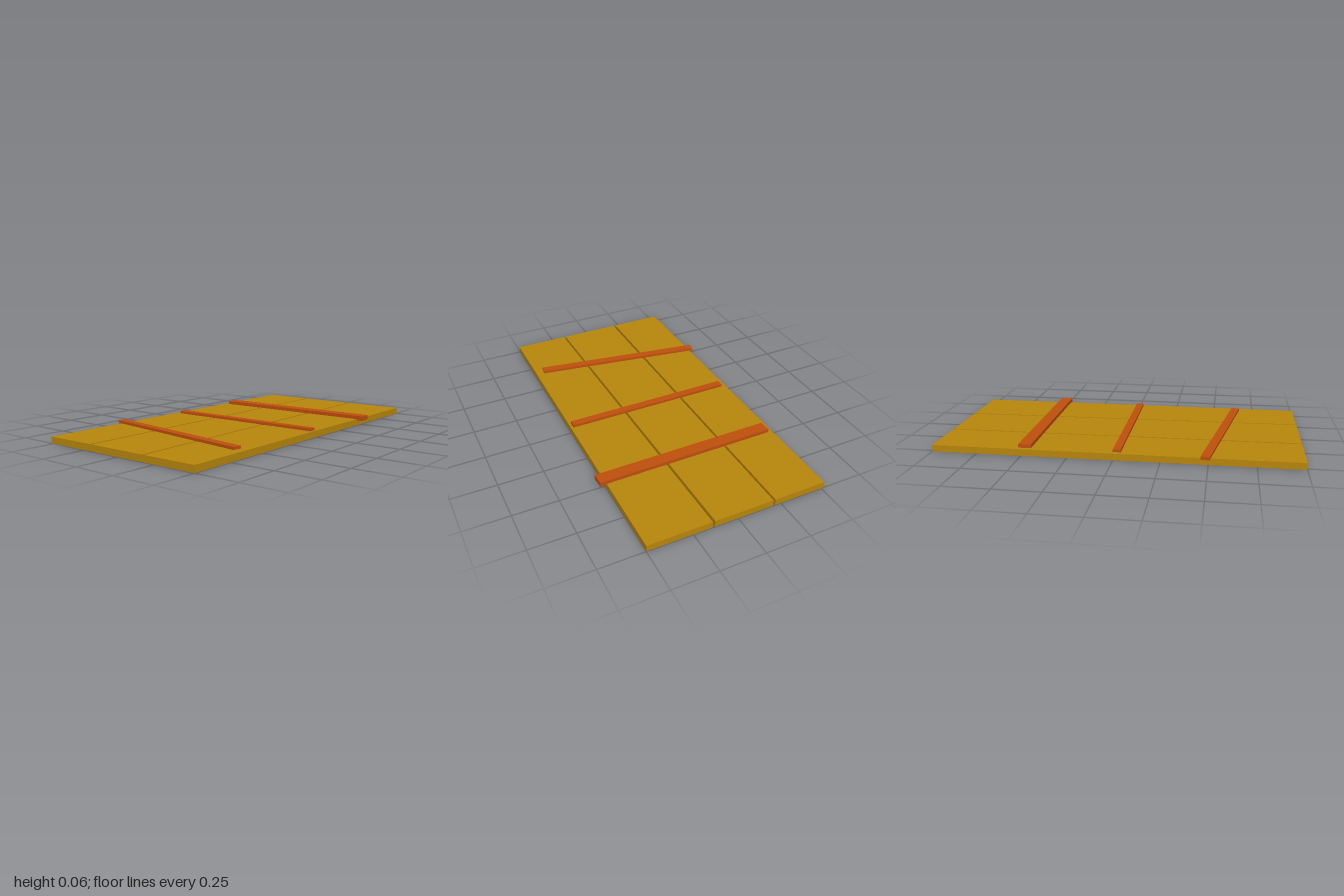
import * as THREE from 'three';

// Straight-sided board: footprint corners as [x, z], between two heights
function board(name, corners, bottom, top, material) {
  const shape = new THREE.Shape(corners.map(([x, z]) => new THREE.Vector2(x, z)));
  const geometry = new THREE.ExtrudeGeometry(shape, { depth: top - bottom, bevelEnabled: false });
  geometry.rotateX(Math.PI / 2).translate(0, top, 0);
  const mesh = new THREE.Mesh(geometry, material);
  mesh.name = name;
  return mesh;
}

export function createModel() {
  const model = new THREE.Group();
  model.name = 'plankPanel';
  const plankWood = new THREE.MeshStandardMaterial({ color: 0xb8860b });
  plankWood.name = 'golden plank wood';
  const battenWood = new THREE.MeshStandardMaterial({ color: 0xbf4f0d });
  battenWood.name = 'red batten wood';

  // Planks: left and right edges at the back (z = -1) and front (z = 1)
  const planks = [
    ['rightPlank', -0.515, -0.215, -0.515, -0.205],
    ['middlePlank', -0.203, 0.131, -0.19, 0.17],
    ['leftPlank', 0.145, 0.5, 0.183, 0.5],
  ];
  for (const [name, backA, backB, frontA, frontB] of planks) {
    const corners = [[backA, -1], [backB, -1], [frontB, 1], [frontA, 1]];
    model.add(board(name, corners, 0, 0.037, plankWood));
  }

  // Battens lying across the planks
  model.add(
    board('backBatten', [[-0.49, -0.52], [0.535, -0.527], [0.538, -0.457], [-0.488, -0.45]], 0.029, 0.057, battenWood),
    board('middleBatten', [[-0.488, -0.004], [0.485, -0.004], [0.485, 0.039], [-0.488, 0.039]], 0.034, 0.052, battenWood),
    board('frontBatten', [[-0.534, 0.46], [0.456, 0.615], [0.448, 0.662], [-0.542, 0.507]], 0.034, 0.052, battenWood),
  );
  return model;
}
